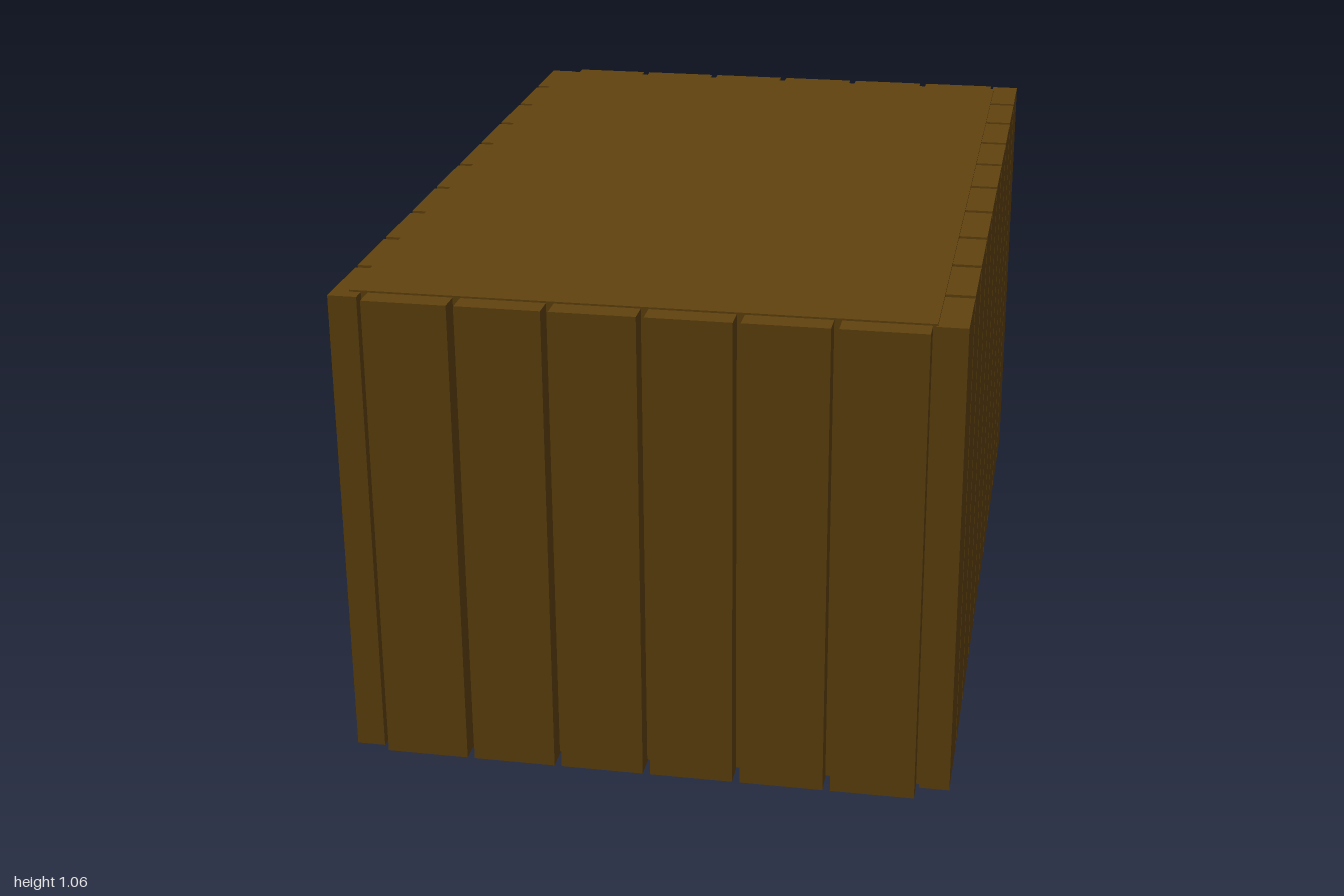
import * as THREE from 'three';

export function createModel() {
  const model = new THREE.Group();
  model.name = 'panelledCabin';
  const brown = new THREE.MeshStandardMaterial({ color: 0x62430e });
  brown.name = 'brown';

  // box given by its limits on each axis
  const box = (name, [x0, x1], [y0, y1], [z0, z1], parent = model) => {
    const mesh = new THREE.Mesh(new THREE.BoxGeometry(x1 - x0, y1 - y0, z1 - z0), brown);
    mesh.name = name;
    mesh.position.set((x0 + x1) / 2, (y0 + y1) / 2, (z0 + z1) / 2);
    parent.add(mesh);
    return mesh;
  };

  // limits of count panels spread from a to b with gaps between
  const gap = 0.016;
  const spread = (a, b, count) => {
    const pitch = (b - a + gap) / count;
    return Array.from({ length: count }, (_, i) => [a + i * pitch, a + (i + 1) * pitch - gap]);
  };

  const H = [0, 1.057];

  // inner body with floor and roof
  box('body', [-0.62, 0.595], [0.006, 1.061], [-0.95, 0.95]);

  // long walls, slightly staggered against each other
  const leftWall = new THREE.Group();
  leftWall.name = 'leftWall';
  const rightWall = new THREE.Group();
  rightWall.name = 'rightWall';
  spread(-0.99, 0.955, 10).forEach(z => box('sidePanel', [0.592, 0.657], H, z, leftWall));
  spread(-0.97, 0.98, 10).forEach(z => box('sidePanel', [-0.657, -0.595], H, z, rightWall));

  // front wall
  const frontWall = new THREE.Group();
  frontWall.name = 'frontWall';
  spread(-0.58, 0.585, 6).forEach(x => box('frontPanel', x, H, [0.94, 1], frontWall));

  // back wall: the two middle panels are recessed leaves between header and sill
  const backWall = new THREE.Group();
  backWall.name = 'backWall';
  spread(-0.58, 0.585, 6).forEach((x, i) => {
    if (i === 2 || i === 3) {
      box('sill', x, [0, 0.035], [-0.996, -0.94], backWall);
      box('header', x, [1.027, 1.057], [-0.996, -0.94], backWall);
      box('doorLeaf', x, [0.035, 1.027], [-0.976, -0.94], backWall);
    } else {
      box('backPanel', x, H, [-0.996, -0.94], backWall);
    }
  });

  // door handle and lock
  const handle = new THREE.Group();
  handle.name = 'doorHandle';
  box('lever', [-0.195, -0.088], [0.55, 0.569], [-1, -0.988], handle);
  box('leverNeck', [-0.185, -0.167], [0.551, 0.568], [-0.99, -0.97], handle);
  const lock = new THREE.Mesh(new THREE.CylinderGeometry(0.016, 0.016, 0.016, 16), brown);
  lock.name = 'doorLock';
  lock.rotation.x = Math.PI / 2;
  lock.position.set(-0.165, 0.485, -0.982);
  handle.add(lock);

  model.add(leftWall, rightWall, frontWall, backWall, handle);
  return model;
}
